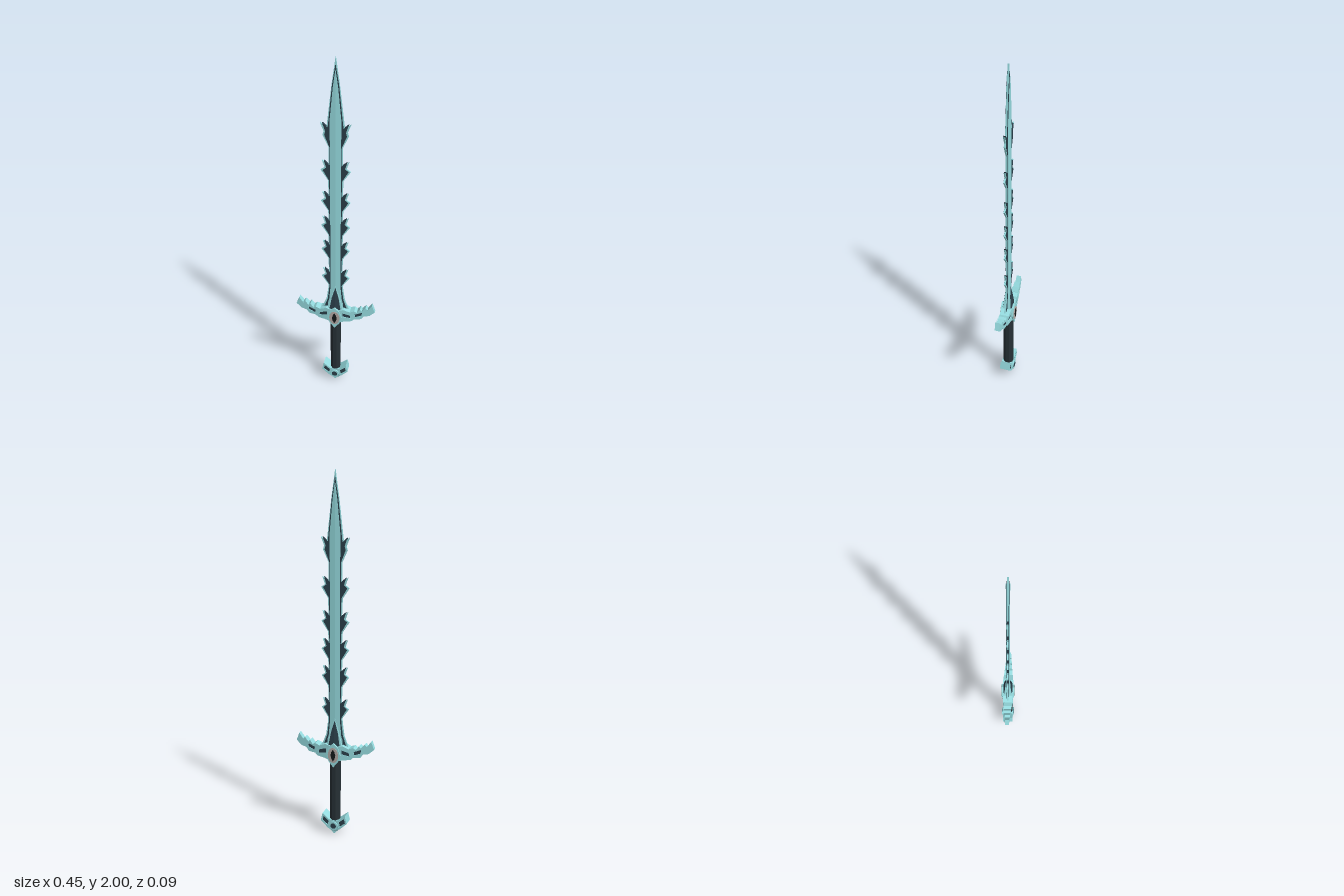
import * as THREE from 'three';

const mat = (color) => new THREE.MeshStandardMaterial({ color, flatShading: true, side: THREE.DoubleSide });
const TEAL = mat(0x96dce0), DARK = mat(0x2b3f4a), GRIP = mat(0x263035), BLACK = mat(0x14181a), RIM = mat(0xb3aaa6);

const toShape = (pts) => new THREE.Shape(pts.map(([x, y]) => new THREE.Vector2(x, y)));
const flip = (pts) => pts.map(([x, y]) => [-x, y]);
// close a right-hand outline (listed top to bottom) with its mirror image
const mirrored = (pts) => [...pts, ...flip(pts).reverse().filter(([x]) => x !== 0)];
const ellipse = (rx, ry, cy, n) => Array.from({ length: n }, (_, i) => {
  const a = (i / n) * Math.PI * 2;
  return [Math.cos(a) * rx, cy + Math.sin(a) * ry];
});

// flat plate centred on z = 0; depth(|x|, y) gives its half thickness
function plate(name, pts, depth, material, holes = []) {
  const shape = toShape(pts);
  shape.holes = holes.map(toShape);
  const geo = new THREE.ExtrudeGeometry(shape, { depth: 2, bevelEnabled: false });
  const p = geo.attributes.position;
  for (let i = 0; i < p.count; i++) {
    const d = typeof depth === 'number' ? depth : depth(Math.abs(p.getX(i)), p.getY(i));
    p.setZ(i, (p.getZ(i) - 1) * d);
  }
  geo.computeVertexNormals();
  const mesh = new THREE.Mesh(geo, material);
  mesh.name = name;
  return mesh;
}

function pair(name, pts, depth, material, holes = []) {
  const g = new THREE.Group();
  g.name = name;
  g.add(plate(name + 'Left', pts, depth, material, holes));
  g.add(plate(name + 'Right', flip(pts), depth, material, holes.map(flip)));
  return g;
}

function createBlade() {
  const g = new THREE.Group();
  g.name = 'blade';
  // long point and its first barbs
  const edge = [[0, 2], [0.02, 1.86], [0.042, 1.67], [0.046, 1.64], [0.078, 1.665], [0.06, 1.62], [0.066, 1.6], [0.036, 1.535]];
  // paired barbs down the edge
  for (const t of [1.46, 1.28, 1.13, 0.98, 0.8])
    edge.push([0.036, t - 0.025], [0.07, t], [0.056, t - 0.04], [0.077, t - 0.055], [0.04, t - 0.11]);
  // flared foot
  edge.push([0.042, 0.66], [0.052, 0.59], [0.075, 0.53], [0, 0.5]);
  g.add(plate('edge', mirrored(edge), 0.004, TEAL));
  g.add(plate('darkBorder', mirrored(edge.map(([x, y]) => [x * 0.86, y > 1.9 ? 1.965 : y])), 0.006, DARK));
  // ridged centre panel
  const panel = [[0, 1.94], [0.013, 1.85], [0.03, 1.67], [0.028, 1.54], [0.028, 0.68], [0.036, 0.59], [0.052, 0.53], [0, 0.5]];
  g.add(pair('panel', panel, (x) => 0.0095 - x * 0.08, TEAL));
  // dark spike at the foot with its pale frame
  const lean = (base) => (x, y) => base + Math.max(0, 0.68 - y) * 0.08;
  g.add(plate('spikeFrame', mirrored([[0, 0.69], [0.026, 0.6], [0.046, 0.52], [0, 0.5]]), lean(0.01), TEAL));
  g.add(pair('spike', [[0, 0.675], [0.019, 0.61], [0.032, 0.53], [0, 0.5]],
    (x, y) => 0.012 + Math.max(0, 0.675 - y) * 0.12 - x * 0.12, DARK));
  return g;
}

function createGuard() {
  const g = new THREE.Group();
  g.name = 'guard';
  const taper = (x) => 0.035 - x * 0.107;
  const wing = [[0, 0.53], [0.05, 0.54], [0.085, 0.525], [0.11, 0.535], [0.125, 0.525], [0.142, 0.548], [0.153, 0.537],
    [0.173, 0.56], [0.185, 0.548], [0.208, 0.58], [0.225, 0.535], [0.195, 0.508], [0.165, 0.502], [0.15, 0.482],
    [0.11, 0.477], [0.095, 0.463], [0.055, 0.458], [0, 0.44]];
  const slots = [
    [[0.045, 0.515], [0.085, 0.503], [0.09, 0.482], [0.045, 0.49]],
    [[0.112, 0.512], [0.155, 0.528], [0.15, 0.506], [0.116, 0.492]],
  ];
  g.add(pair('wing', wing, taper, TEAL, slots));
  g.add(pair('slotFloor', [[0.03, 0.52], [0.1, 0.515], [0.16, 0.53], [0.152, 0.5], [0.1, 0.478], [0.03, 0.48]],
    (x) => taper(x) * 0.85, DARK));
  // pointed central boss carrying an eye on both faces
  g.add(plate('boss', mirrored([[0, 0.55], [0.025, 0.53], [0.041, 0.485], [0.028, 0.447], [0, 0.41]]), 0.038, TEAL));
  g.add(plate('eyeRim', ellipse(0.03, 0.044, 0.483, 16), 0.041, RIM));
  g.add(plate('eyeSlit', mirrored([[0, 0.518], [0.009, 0.502], [0.014, 0.483], [0.009, 0.464], [0, 0.448]]), 0.0425, BLACK));
  return g;
}

function createGrip() {
  const g = new THREE.Group();
  g.name = 'grip';
  const core = new THREE.Mesh(new THREE.CylinderGeometry(0.03, 0.03, 0.38, 8), GRIP);
  core.name = 'gripCore';
  core.rotation.y = Math.PI / 8;
  core.position.y = 0.26;
  g.add(core);
  return g;
}

function createPommel() {
  const g = new THREE.Group();
  g.name = 'pommel';
  const horn = [[0, 0.085], [0.028, 0.088], [0.066, 0.12], [0.077, 0.075], [0.036, 0.035], [0, 0.03]];
  const slot = [[0.03, 0.077], [0.06, 0.103], [0.067, 0.077], [0.036, 0.052]];
  g.add(pair('horn', horn, 0.03, TEAL, [slot]));
  g.add(pair('hornPanel', [[0.02, 0.08], [0.06, 0.108], [0.07, 0.077], [0.034, 0.045]], 0.026, DARK));
  g.add(plate('pommelPoint', mirrored([[0, 0.075], [0.025, 0.055], [0.032, 0.035], [0.016, 0.016], [0, 0]]),
    (x, y) => (y < 0.02 ? 0.022 : 0.033), TEAL));
  g.add(plate('gemRing', ellipse(0.026, 0.026, 0.053, 12), 0.037, TEAL));
  g.add(plate('gem', ellipse(0.016, 0.016, 0.053, 12), 0.0385, DARK));
  return g;
}

export function createModel() {
  const model = new THREE.Group();
  model.name = 'sword';
  model.add(createBlade(), createGuard(), createGrip(), createPommel());
  return model;
}
